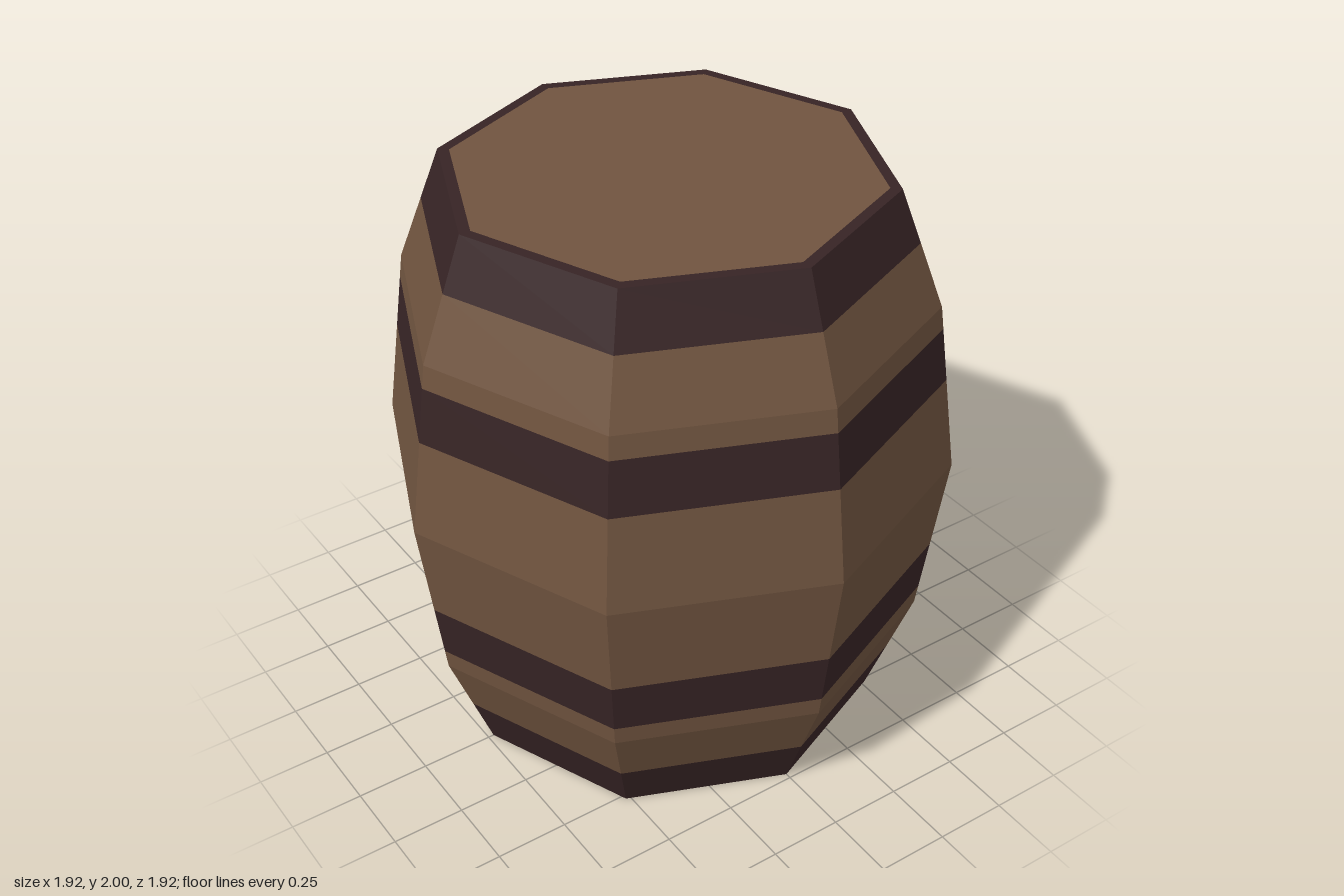
import * as THREE from 'three';

const SIDES = 8;
// Barrel silhouette: [radius, height]
const PROFILE = [[0.73, 0], [0.88, 0.4], [0.96, 1], [0.88, 1.6], [0.73, 2]];

function radiusAt(y) {
  for (let i = 1; i < PROFILE.length; i++) {
    const [r0, y0] = PROFILE[i - 1];
    const [r1, y1] = PROFILE[i];
    if (y <= y1) return THREE.MathUtils.lerp(r0, r1, (y - y0) / (y1 - y0));
  }
  return PROFILE[PROFILE.length - 1][0];
}

// Eight-sided ring of the barrel wall between two heights
function wallSection(y0, y1) {
  const inner = PROFILE.map((p) => p[1]).filter((y) => y > y0 && y < y1);
  const points = [y0, ...inner, y1].map((y) => new THREE.Vector2(radiusAt(y), y));
  return new THREE.LatheGeometry(points, SIDES);
}

export function createModel() {
  const wood = new THREE.MeshStandardMaterial({ color: 0x70543f, flatShading: true });
  wood.name = 'wood';
  const iron = new THREE.MeshStandardMaterial({ color: 0x372425, flatShading: true });
  iron.name = 'darkIron';

  const barrel = new THREE.Group();
  barrel.name = 'barrel';
  const add = (name, geometry, material) => {
    const mesh = new THREE.Mesh(geometry, material);
    mesh.name = name;
    barrel.add(mesh);
    return mesh;
  };

  // Alternating iron hoops and wooden staves, from bottom to top
  const heights = [0, 0.185, 0.47, 0.66, 1.33, 1.52, 1.82, 2];
  for (let i = 0; i < heights.length - 1; i++) {
    const isHoop = i % 2 === 0;
    add((isHoop ? 'hoop' : 'staves') + (Math.floor(i / 2) + 1),
      wallSection(heights[i], heights[i + 1]), isHoop ? iron : wood);
  }

  // Flat ends: wooden lid inside a narrow iron rim
  for (const [end, y, tilt] of [['top', 2, -1], ['bottom', 0, 1]]) {
    const lid = add(end + 'Lid', new THREE.CircleGeometry(0.692, SIDES), wood);
    const rim = add(end + 'Rim', new THREE.RingGeometry(0.692, 0.73, SIDES), iron);
    for (const part of [lid, rim]) {
      part.rotation.x = tilt * Math.PI / 2;
      part.position.y = y;
    }
  }
  return barrel;
}
